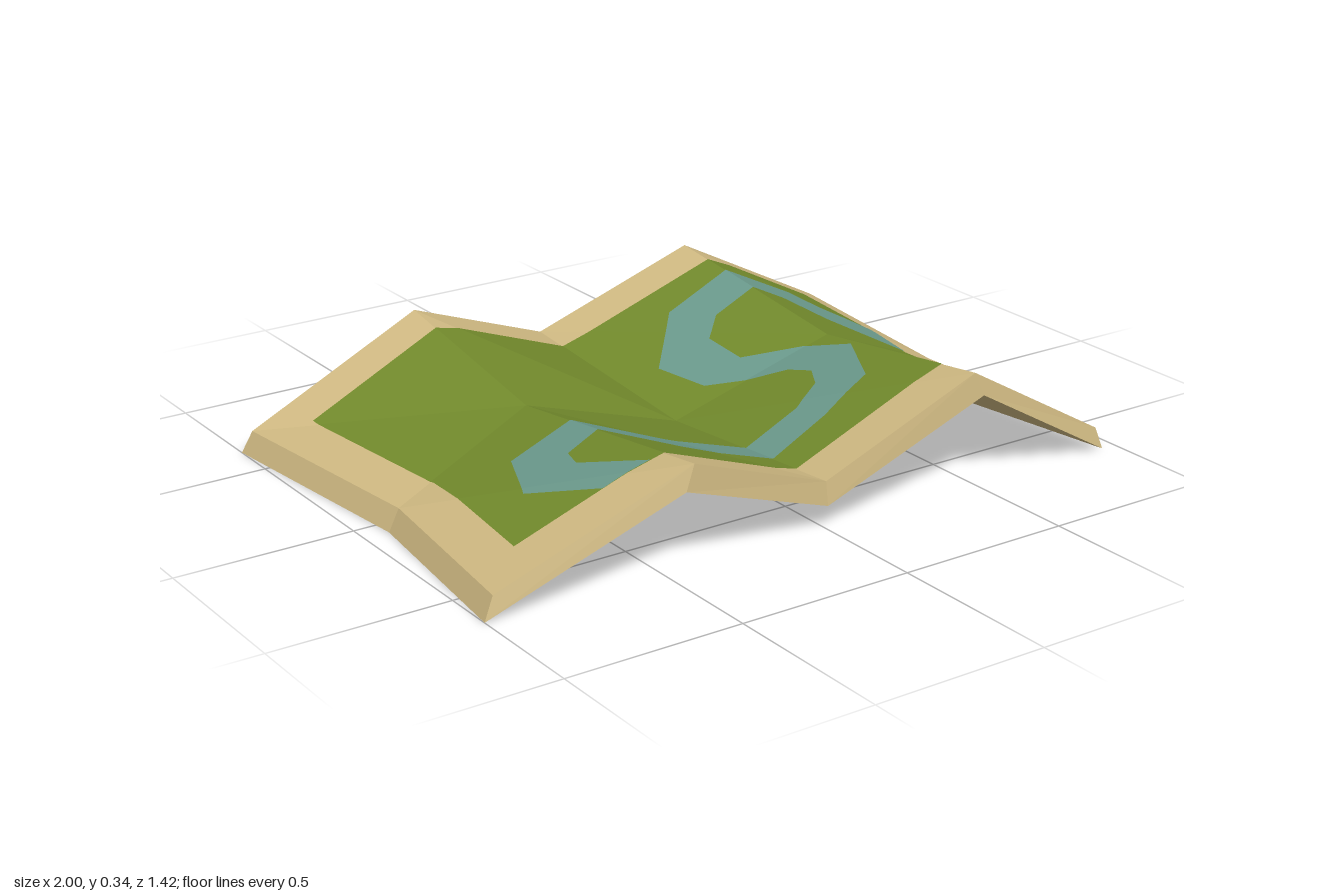
import * as THREE from 'three';

const paperMat = new THREE.MeshStandardMaterial({ name: 'paper tan', color: 0xcfb982 });
const landMat = new THREE.MeshStandardMaterial({ name: 'land green', color: 0x728a2c });
const riverMat = new THREE.MeshStandardMaterial({ name: 'river teal', color: 0x6b9a8c });

// Sheet corners as rows back, middle, front; columns left to right: [x, y, z]
const TOP = [
  [[-0.97, 0.06, -0.63], [-0.43, 0.29, -0.675], [0, 0.13, -0.7], [0.46, 0.333, -0.62], [0.985, 0.06, -0.685]],
  [[-0.9, 0.06, 0.06], [-0.43, 0.19, -0.08], [0, 0.075, 0], [0.46, 0.255, 0.075], [0.915, 0.06, -0.02]],
  [[-0.97, 0.06, 0.64], [-0.43, 0.29, 0.7], [0, 0.13, 0.67], [0.46, 0.335, 0.7], [0.94, 0.06, 0.66]],
];
const BOTTOM = [
  [[-1, 0, -0.64], [-0.46, 0.225, -0.69], [0, 0.065, -0.715], [0.485, 0.27, -0.635], [1, 0, -0.695]],
  [[-0.93, 0, 0.06], [-0.46, 0.125, -0.08], [0, 0.01, 0], [0.485, 0.19, 0.075], [0.93, 0, -0.02]],
  [[-1, 0, 0.65], [-0.46, 0.225, 0.71], [0, 0.065, 0.68], [0.485, 0.27, 0.71], [0.955, 0, 0.675]],
];

// Printed land area, same row and column layout: [x, z]
const LAND = [
  [[-0.84, -0.52], [-0.43, -0.555], [0, -0.575], [0.46, -0.5], [0.85, -0.54]],
  [[-0.785, 0.04], [-0.43, -0.08], [0, 0], [0.46, 0.075], [0.805, 0]],
  [[-0.84, 0.525], [-0.43, 0.57], [0, 0.545], [0.46, 0.567], [0.825, 0.545]],
];

// The two river banks, walked together from the front edge to the right edge: [x, z]
const BANK_A = [[-0.6, 0.553], [-0.71, 0.36], [-0.63, 0.17], [-0.43, 0.14], [-0.2, 0.29], [0, 0.325],
  [0.17, 0.32], [0.27, 0.27], [0.31, 0.2], [0.29, 0.12], [0.13, -0.05], [0.1, -0.23], [0.26, -0.41],
  [0.46, -0.41], [0.65, -0.36], [0.7, -0.27], [0.817, -0.18]];
const BANK_B = [[-0.47, 0.566], [-0.56, 0.37], [-0.54, 0.3], [-0.43, 0.27], [-0.25, 0.39], [0, 0.445],
  [0.18, 0.43], [0.35, 0.385], [0.445, 0.2], [0.39, 0.06], [0.26, -0.06], [0.26, -0.21], [0.33, -0.275],
  [0.46, -0.275], [0.55, -0.25], [0.62, -0.13], [0.805, 0]];

// Grid cells as corner loops, counter-clockwise from above
function cells(grid) {
  const out = [];
  for (let r = 0; r < grid.length - 1; r++)
    for (let c = 0; c < grid[r].length - 1; c++)
      out.push([grid[r][c], grid[r + 1][c], grid[r + 1][c + 1], grid[r][c + 1]]);
  return out;
}

const fan = (loop) => loop.slice(2).map((p, i) => [loop[0], loop[i + 1], p]);

function meshFrom(name, triangles, material) {
  const geo = new THREE.BufferGeometry();
  geo.setAttribute('position', new THREE.Float32BufferAttribute(triangles.flat(2), 3));
  geo.computeVertexNormals();
  const mesh = new THREE.Mesh(geo, material);
  mesh.name = name;
  return mesh;
}

// Positive when c lies inside the edge a-b of a counter-clockwise loop seen from above
const side = (a, b, c) => (b[1] - a[1]) * (c[0] - a[0]) - (b[0] - a[0]) * (c[1] - a[1]);

// Clip a convex loop to a triangle in plan
function clip(loop, tri) {
  for (let e = 0; e < 3; e++) {
    const a = tri[e], b = tri[(e + 1) % 3], out = [];
    loop.forEach((p, i) => {
      const q = loop[(i + 1) % loop.length];
      const dp = side(a, b, p), dq = side(a, b, q);
      if (dp >= 0) out.push(p);
      if ((dp > 0 && dq < 0) || (dp < 0 && dq > 0)) {
        const t = dp / (dp - dq);
        out.push([p[0] + (q[0] - p[0]) * t, p[1] + (q[1] - p[1]) * t]);
      }
    });
    loop = out;
  }
  return loop;
}

// Drape flat plan triangles over the folded top, lifted a hair above it
function drape(plan, lift) {
  const out = [];
  for (const facet of cells(TOP).flatMap(fan)) {
    const flat = facet.map(([x, , z]) => [x, z]);
    const area = side(...flat);
    const raise = (p) => {
      const w0 = side(flat[1], flat[2], p) / area, w1 = side(flat[2], flat[0], p) / area;
      const y = w0 * facet[0][1] + w1 * facet[1][1] + (1 - w0 - w1) * facet[2][1];
      return [p[0], y + lift, p[1]];
    };
    for (const t of plan) {
      const loop = clip(side(...t) < 0 ? [...t].reverse() : t, flat);
      if (loop.length > 2) out.push(...fan(loop.map(raise)));
    }
  }
  return out;
}

// Outline of a grid, counter-clockwise from above
const rim = (g) => [...g[2], g[1][4], ...[...g[0]].reverse(), g[1][0]];

export function createModel() {
  const group = new THREE.Group();
  group.name = 'foldedMap';

  // Thick folded sheet: top, underside and edge walls
  const top = cells(TOP).flatMap(fan);
  const under = cells(BOTTOM).flatMap(fan).map((t) => [...t].reverse());
  const rt = rim(TOP), rb = rim(BOTTOM);
  const walls = rt.flatMap((p, i) => {
    const j = (i + 1) % rt.length;
    return fan([rb[i], rb[j], rt[j], p]);
  });
  group.add(meshFrom('paperSheet', [...top, ...under, ...walls], paperMat));

  // Printed land and winding river
  group.add(meshFrom('land', drape(cells(LAND).flatMap(fan), 0.002), landMat));
  group.add(meshFrom('river', drape(cells([BANK_A, BANK_B]).flatMap(fan), 0.004), riverMat));

  return group;
}
